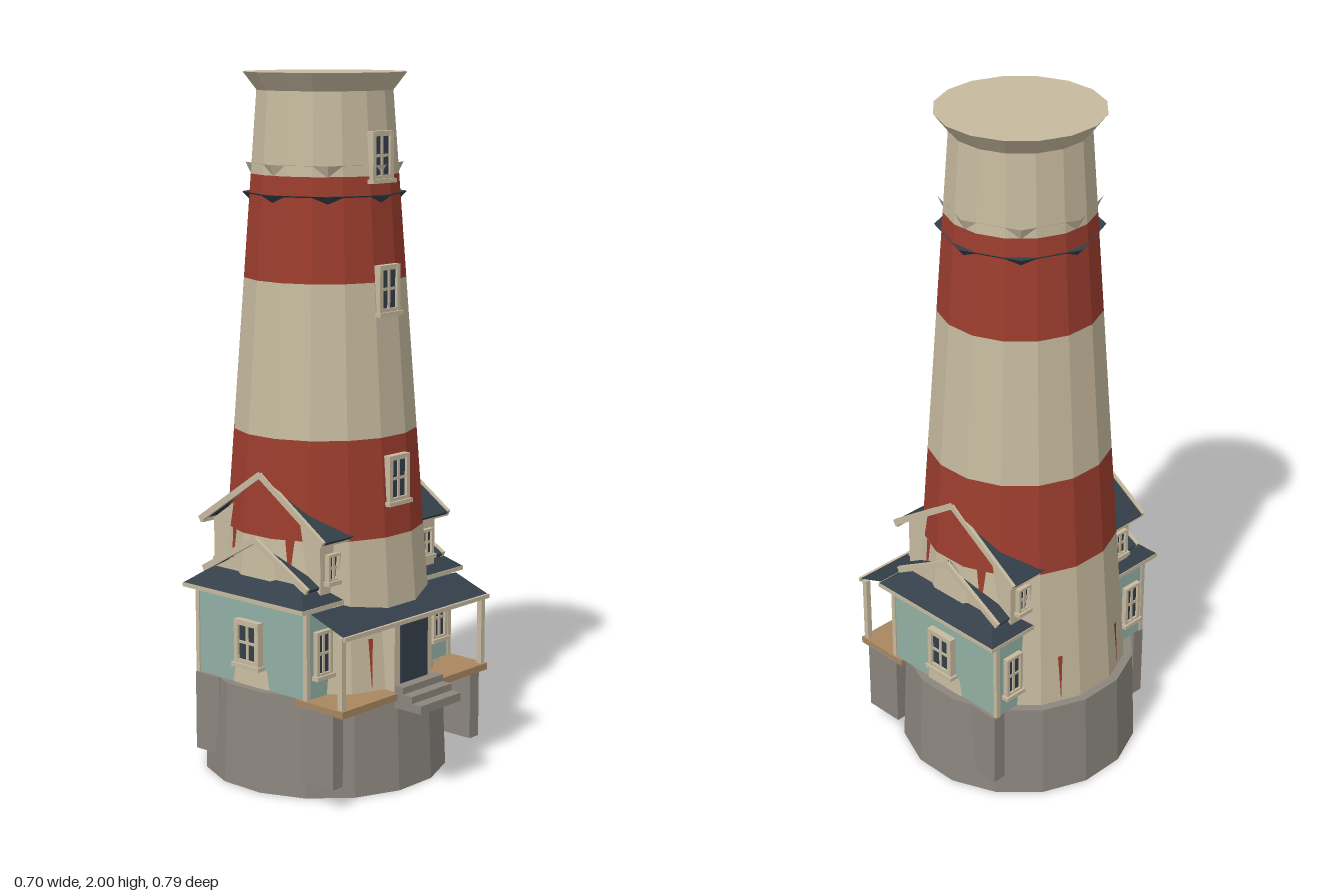
import * as THREE from 'three';

const mat = (name, color, extra = {}) => {
  const m = new THREE.MeshStandardMaterial({ color, ...extra });
  m.name = name;
  return m;
};

export function createModel() {
  const cream = mat('cream', 0xc6b99e), red = mat('red', 0x9c3d2e);
  const stone = mat('stone', 0x8b857d), teal = mat('teal', 0x93b0a5);
  const slate = mat('slate', 0x343f49, { side: THREE.DoubleSide });
  const wood = mat('wood', 0xa8875f);
  for (const m of [cream, red, stone, teal, slate, wood]) m.flatShading = true;

  const model = new THREE.Group();
  model.name = 'lighthouse';
  const body = new THREE.Group(); // centred on the tower axis
  body.name = 'body';
  body.position.z = -0.045;
  model.add(body);

  const add = (parent, name, geo, material, x = 0, y = 0, z = 0) => {
    const m = new THREE.Mesh(geo, material);
    m.name = name;
    m.position.set(x, y, z);
    parent.add(m);
    return m;
  };
  // box given by its minimum and maximum corners
  const box = (parent, name, material, x0, x1, y0, y1, z0, z1) =>
    add(parent, name, new THREE.BoxGeometry(x1 - x0, y1 - y0, z1 - z0), material,
      (x0 + x1) / 2, (y0 + y1) / 2, (z0 + z1) / 2);
  // sixteen-sided drum with flat faces on the axes; radii measured to the faces
  const k = 1 / Math.cos(Math.PI / 16);
  const drum = (name, material, r0, r1, y0, y1, open = true) =>
    add(body, name, new THREE.CylinderGeometry(r1 * k, r0 * k, y1 - y0, 16, 1, open)
      .rotateY(Math.PI / 16), material, 0, (y0 + y1) / 2, 0);
  const radiusAt = y => 0.312 - 0.0735 * (y - 0.29);

  // Tower
  drum('stoneBase', stone, 0.349, 0.337, 0, 0.29, false);
  const bands = [0.29, 0.72, 1.0, 1.43, 1.72, 1.95];
  for (let i = 0; i < 5; i++) {
    drum('towerBand', i % 2 ? red : cream, radiusAt(bands[i]), radiusAt(bands[i + 1]), bands[i], bands[i + 1]);
  }
  drum('towerCap', cream, 0.19, 0.228, 1.95, 2, false);

  // Eight-sided gallery rings cut by the tower wall
  add(body, 'galleryRing', new THREE.CylinderGeometry(0.232, 0.2, 0.035, 8), slate, 0, 1.65, 0);
  add(body, 'galleryRail', new THREE.CylinderGeometry(0.222, 0.208, 0.03, 8, 1, true), cream, 0, 1.735, 0);

  // Thin red paint wedges on the tower wall
  const wedge = (angle, y0, y1, w) => {
    const s = new THREE.Shape([new THREE.Vector2(-w, y1), new THREE.Vector2(0, y0), new THREE.Vector2(w, y1)]);
    const g = new THREE.ShapeGeometry(s);
    const p = g.attributes.position;
    for (let i = 0; i < 3; i++) p.setZ(i, radiusAt(p.getY(i)) + 0.002);
    g.rotateY(angle);
    add(body, 'paintWedge', g, red);
  };
  for (const a of [1, 7, 9, 15]) wedge(a * Math.PI / 8, 0.29, 0.44, 0.007);
  for (const a of [3, 5, 11, 13]) wedge(a * Math.PI / 8, 0.6, 0.722, 0.014);

  // Sash window facing +z: dark pane, frame bars, cross bars and sill
  const windowUnit = (parent, x, y, z, w, h, turn = 0) => {
    const g = new THREE.Group();
    g.name = 'window';
    g.position.set(x, y, z);
    g.rotation.y = turn;
    parent.add(g);
    const a = w / 2, b = h / 2, t = w * 0.16;
    box(g, 'pane', slate, -a + t, a - t, -b + t, b - t, -0.03, 0.003);
    for (const s of [-1, 1]) {
      box(g, 'jamb', cream, s * (a - t / 2) - t / 2, s * (a - t / 2) + t / 2, -b, b, -0.03, 0.011);
      box(g, 'rail', cream, -a + t, a - t, s * (b - t / 2) - t / 2, s * (b - t / 2) + t / 2, -0.03, 0.01);
    }
    box(g, 'mullion', cream, -0.004, 0.004, -b + t, b - t, 0, 0.007);
    box(g, 'crossBar', cream, -a + t, a - t, -0.004, 0.004, 0, 0.006);
    box(g, 'sill', cream, -a - 0.006, a + 0.006, -b - 0.008, -b + 0.004, -0.03, 0.017);
  };
  for (const y of [0.882, 1.41, 1.775]) windowUnit(body, 0, y, radiusAt(y) + 0.006, 0.086, 0.134);

  // Board or slab in the z-y plane, running between two points
  const slope = (parent, name, material, x0, x1, za, ya, zb, yb, t) => {
    const m = add(parent, name,
      new THREE.BoxGeometry(x1 - x0, t, Math.hypot(zb - za, yb - ya)), material,
      (x0 + x1) / 2, (ya + yb) / 2, (za + zb) / 2);
    m.rotation.x = -Math.atan2(yb - ya, zb - za);
  };
  const gable = (parent, name, x0, x1, half, y0, y1) => {
    for (const s of [-1, 1]) {
      slope(parent, name + 'Roof', slate, x0, x1, s * half, y0, 0, y1, 0.01);
      slope(parent, name + 'Bargeboard', cream, x1, x1 + 0.011, s * half, y0, 0, y1, 0.018);
    }
  };
  const gableWall = (parent, name, material, x0, x1, half, y0, yEave, y1) => {
    const s = new THREE.Shape();
    s.moveTo(-half, y0);
    s.lineTo(half, y0);
    s.lineTo(half, yEave);
    s.lineTo(0, y1);
    s.lineTo(-half, yEave);
    s.closePath();
    add(parent, name, new THREE.ExtrudeGeometry(s, { depth: x1 - x0, bevelEnabled: false })
      .rotateY(Math.PI / 2), material, x0, 0, 0);
  };

  // Side cabins, the second turned half round the tower axis
  for (const turn of [0, Math.PI]) {
    const c = new THREE.Group();
    c.name = turn ? 'rightCabin' : 'leftCabin';
    c.rotation.y = turn;
    body.add(c);
    box(c, 'cabinWalls', teal, 0.1, 0.308, 0.29, 0.55, -0.215, 0.215);
    windowUnit(c, 0.318, 0.417, 0, 0.095, 0.13, Math.PI / 2);
    for (const s of [-1, 1]) {
      windowUnit(c, 0.25, 0.417, s * 0.22, 0.062, 0.13, s > 0 ? 0 : Math.PI);
      box(c, 'cornerTrim', cream, 0.298, 0.312, 0.29, 0.55, s * 0.212 - 0.007, s * 0.212 + 0.007);
      box(c, 'upperEave', cream, 0.15, 0.273, 0.722, 0.734, s * 0.232 - 0.006, s * 0.232 + 0.006);
      windowUnit(c, 0.2, 0.65, s * 0.212, 0.05, 0.08, s > 0 ? 0 : Math.PI);
    }
    box(c, 'eaveFascia', cream, 0.1, 0.346, 0.545, 0.557, -0.236, 0.236);
    // Hipped skirt roof: top corners drawn inward
    const hip = new THREE.BoxGeometry(0.244, 0.055, 0.468);
    const p = hip.attributes.position;
    for (let i = 0; i < p.count; i++) {
      if (p.getY(i) > 0) {
        if (p.getX(i) > 0) p.setX(i, p.getX(i) - 0.07);
        p.setZ(i, p.getZ(i) - Math.sign(p.getZ(i)) * 0.07);
      }
    }
    hip.computeVertexNormals();
    add(c, 'skirtRoof', hip, slate, 0.222, 0.5845, 0);
    // Low pediment and the taller gable behind it
    gableWall(c, 'pedimentWall', cream, 0.1, 0.282, 0.165, 0.56, 0.605, 0.695);
    gable(c, 'pediment', 0.1, 0.286, 0.203, 0.595, 0.71);
    gableWall(c, 'dormerWall', cream, 0.1, 0.245, 0.208, 0.56, 0.735, 0.88);
    gable(c, 'dormer', 0.1, 0.262, 0.24, 0.73, 0.892);
  }

  // Support legs against the stone base
  for (const s of [-1, 1]) {
    box(body, 'frontLeg', stone, s * 0.298 - 0.02, s * 0.298 + 0.02, 0.06, 0.275, 0.2, 0.322);
    box(body, 'backLeg', stone, s * 0.298 - 0.02, s * 0.298 + 0.02, 0.06, 0.29, -0.215, -0.12);
  }

  // Porch: deck, posts, entrance, sloping roof and steps
  box(body, 'porchDeck', wood, -0.315, 0.315, 0.27, 0.29, 0.18, 0.355);
  for (const s of [-1, 1]) {
    box(body, 'porchPost', cream, s * 0.302 - 0.008, s * 0.302 + 0.008, 0.29, 0.496, 0.332, 0.348);
  }
  box(body, 'entrance', cream, -0.08, 0.08, 0.29, 0.497, 0.2, 0.338);
  box(body, 'door', slate, -0.057, 0.057, 0.292, 0.482, 0.335, 0.343);
  const porchRoof = new THREE.PlaneGeometry(0.624, Math.hypot(0.125, 0.045));
  const roof = add(body, 'porchRoof', porchRoof, slate, 0, 0.52, 0.2975);
  roof.rotation.x = -Math.atan2(0.125, 0.045);
  box(body, 'porchFascia', cream, -0.312, 0.312, 0.488, 0.5, 0.354, 0.362);
  for (let i = 0; i < 3; i++) {
    box(body, 'step', stone, -0.087, 0.087, 0.247 + i * 0.018, 0.271 + i * 0.02, 0.344, 0.441 - i * 0.033);
  }
  return model;
}
